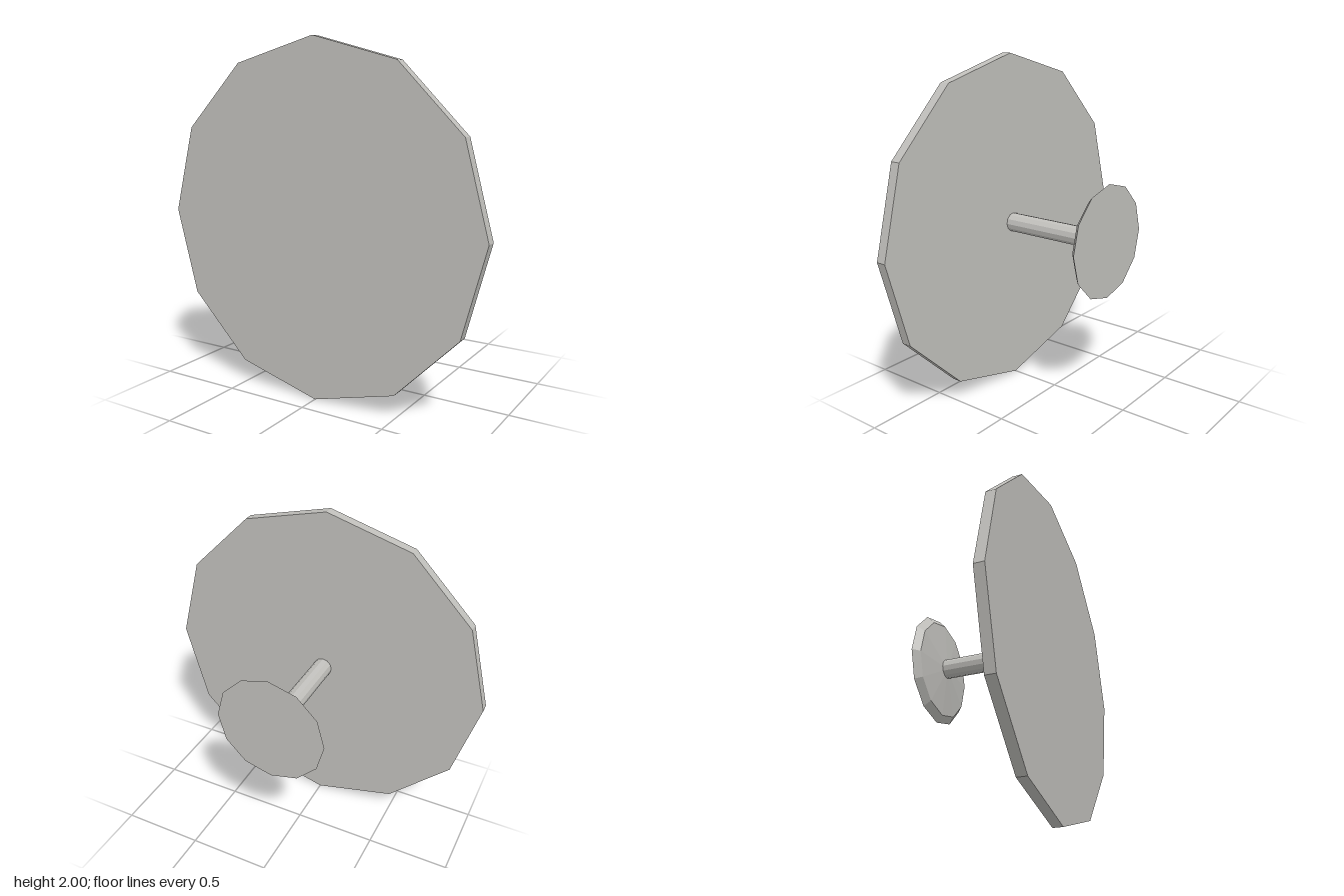
import * as THREE from 'three';

const SIDES = 12;

export function createModel() {
  const model = new THREE.Group();
  model.name = 'roundKnob';
  const grey = new THREE.MeshStandardMaterial({ color: 0xc0bfbb, flatShading: true });
  grey.name = 'warm grey';

  // Parts are turned around the y axis, then tipped so the axis runs along z
  const addPart = (name, geometry) => {
    geometry.rotateX(Math.PI / 2);
    geometry.translate(0, 1, 0);
    const mesh = new THREE.Mesh(geometry, grey);
    mesh.name = name;
    model.add(mesh);
  };

  const cylinder = (radius, back, front) =>
    new THREE.CylinderGeometry(radius, radius, front - back, SIDES)
      .translate(0, (front + back) / 2, 0);

  // Large front disc and the thin stem behind it
  addPart('frontDisc', cylinder(1, 0.315, 0.374));
  addPart('stem', cylinder(0.057, -0.33, 0.316));

  // Flat-backed mounting plate with a bevelled rim and shallow cone
  const profile = [[0, -0.374], [0.33, -0.374], [0.29, -0.338], [0.057, -0.317], [0, -0.317]]
    .map(([r, z]) => new THREE.Vector2(r, z));
  addPart('mountingPlate', new THREE.LatheGeometry(profile, SIDES));

  return model;
}
